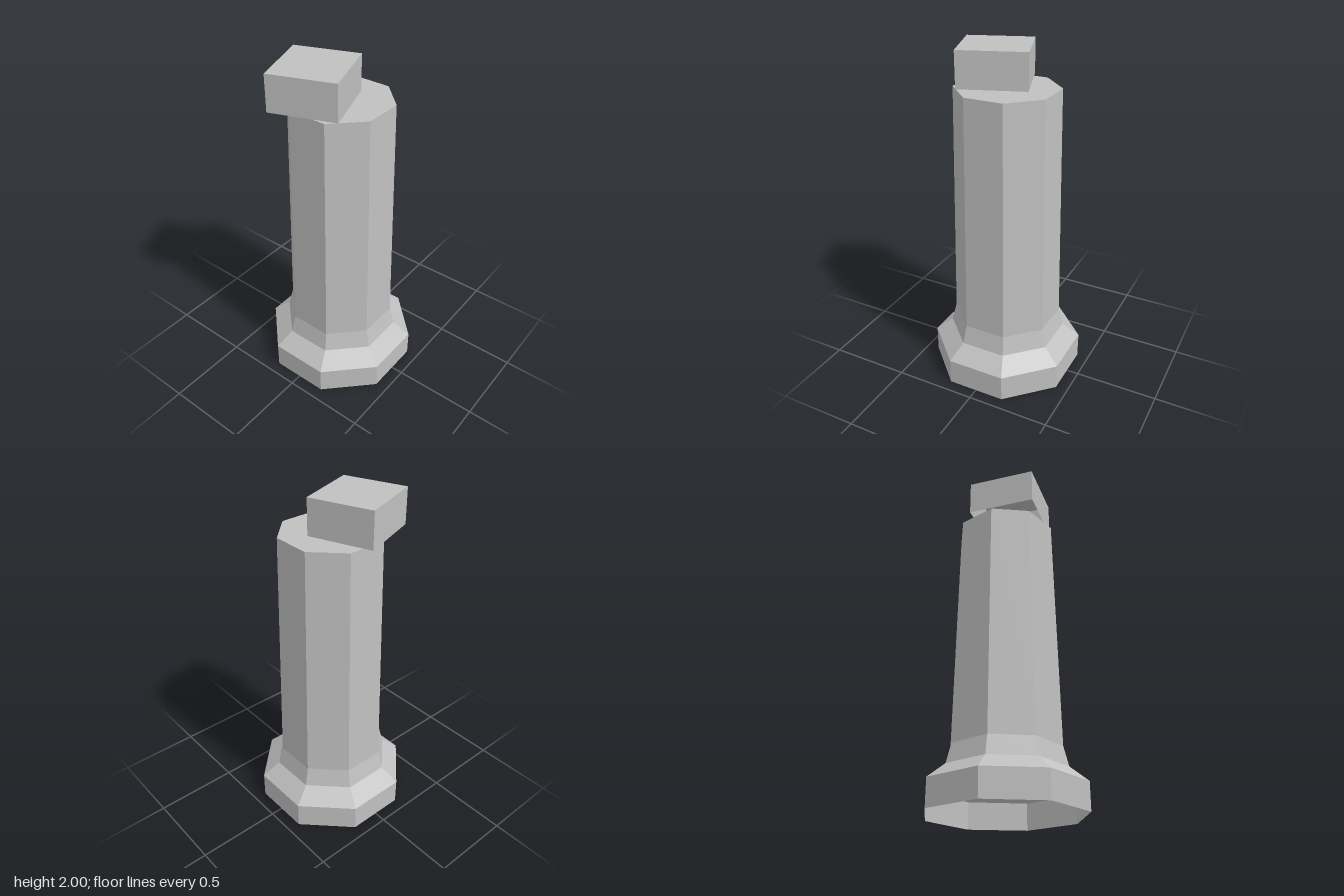
import * as THREE from 'three';

const SIDES = 8;

// Octagonal shell from [half width across flats, height] pairs, open at the bottom
function octagonShell(name, profile, material) {
  const points = profile.map(([r, y]) => new THREE.Vector2(r / Math.cos(Math.PI / SIDES), y));
  const mesh = new THREE.Mesh(new THREE.LatheGeometry(points, SIDES, Math.PI / SIDES), material);
  mesh.name = name;
  return mesh;
}

export function createModel() {
  const stone = new THREE.MeshStandardMaterial({
    color: 0xc0c0c0, flatShading: true, side: THREE.DoubleSide,
  });
  stone.name = 'grey stone';

  const group = new THREE.Group();
  group.name = 'pillar';

  // Hollow foot with a sloped shoulder
  group.add(octagonShell('base', [[0.427, 0], [0.427, 0.16], [0.33, 0.245]], stone));

  // Flared, tapering shaft closed by a flat top
  group.add(octagonShell('shaft', [[0.33, 0.245], [0.303, 0.36], [0.278, 1.79], [0, 1.79]], stone));

  // Skewed block lying off-centre on the top, without its underside
  const box = new THREE.BoxGeometry(0.397, 0.21, 0.383);
  const bottom = box.groups[3];
  const kept = Array.from(box.index.array).filter(
    (_, i) => i < bottom.start || i >= bottom.start + bottom.count);
  box.setIndex(kept);
  box.clearGroups();
  const block = new THREE.Mesh(box, stone);
  block.name = 'topBlock';
  block.position.set(-0.11, 1.895, -0.082);
  block.rotation.y = THREE.MathUtils.degToRad(20);
  group.add(block);

  return group;
}
